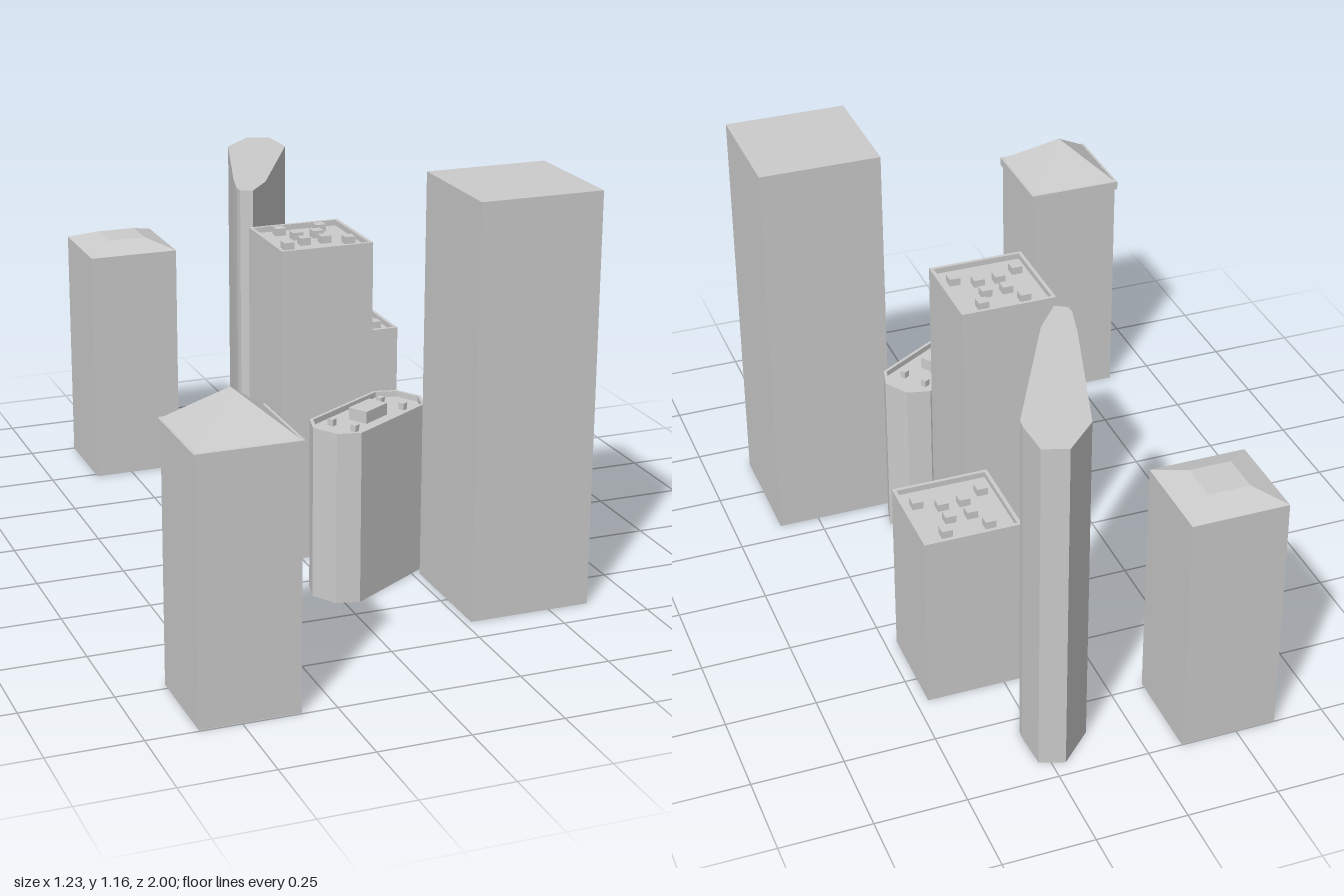
import * as THREE from 'three';

const grey = new THREE.MeshStandardMaterial({ color: 0xcccccc, flatShading: true });

function add(parent, name, geometry, x = 0, y = 0, z = 0) {
  const mesh = new THREE.Mesh(geometry, grey);
  mesh.name = name;
  mesh.position.set(x, y, z);
  parent.add(mesh);
  return mesh;
}

function group(parent, name, x, z) {
  const g = new THREE.Group();
  g.name = name;
  g.position.set(x, 0, z);
  parent.add(g);
  return g;
}

// Box standing on height y
function block(parent, name, w, h, d, x = 0, y = 0, z = 0) {
  return add(parent, name, new THREE.BoxGeometry(w, h, d), x, y + h / 2, z);
}

// Upright prism from a plan outline of [x, z] points, with an optional hole
function prism(outline, height, hole) {
  const toPlan = (pts) => pts.map(([x, z]) => new THREE.Vector2(x, -z));
  const shape = new THREE.Shape(toPlan(outline));
  if (hole) shape.holes.push(new THREE.Path(toPlan(hole)));
  const geo = new THREE.ExtrudeGeometry(shape, { depth: height, bevelEnabled: false });
  return geo.rotateX(-Math.PI / 2);
}

// Rectangle outline with optional chamfered corners
function plan(hx, hz, c = 0) {
  if (!c) return [[-hx, hz], [hx, hz], [hx, -hz], [-hx, -hz]];
  return [
    [-hx + c, hz], [hx - c, hz], [hx, hz - c], [hx, -hz + c],
    [hx - c, -hz], [-hx + c, -hz], [-hx, -hz + c], [-hx, hz - c],
  ];
}

// Four-sided hip roof; top = 0 gives a pyramid
function hipRoof(parent, bottom, top, height, y) {
  const geo = new THREE.CylinderGeometry(top * Math.SQRT2, bottom * Math.SQRT2, height, 4, 1);
  add(parent, 'hipRoof', geo.rotateY(Math.PI / 4), 0, y + height / 2, 0);
}

// Body topped by a low wall around a sunken flat roof
function parapetTower(parent, outline, inner, height, depth) {
  add(parent, 'body', prism(outline, height - depth));
  add(parent, 'parapet', prism(outline, depth, inner), 0, height - depth, 0);
}

export function createModel() {
  const city = new THREE.Group();
  city.name = 'towerCluster';

  // Tower with eave and pyramid roof
  const pyramid = group(city, 'pyramidTower', -0.477, 0.861);
  block(pyramid, 'body', 0.268, 0.69, 0.268);
  block(pyramid, 'eave', 0.28, 0.026, 0.28, 0, 0.69, 0);
  hipRoof(pyramid, 0.133, 0, 0.107, 0.716);

  // Tower with a truncated hip roof
  const hip = group(city, 'hipTower', -0.228, -0.867);
  block(hip, 'body', 0.266, 0.7, 0.266);
  hipRoof(hip, 0.133, 0.058, 0.029, 0.7);

  // Tallest plain tower
  block(group(city, 'tallTower', 0.443, 0.483), 'body', 0.345, 1.157, 0.345);

  // Tapering blade-shaped tower
  const blade = [
    [-0.026, -0.339], [0.006, -0.32], [0.077, -0.408], [0.283, -0.799], [0.286, -0.825],
    [0.281, -0.932], [0.214, -0.956], [0.121, -0.865], [-0.003, -0.461], [-0.027, -0.365],
  ];
  add(city, 'bladeTower', prism(blade.reverse(), 0.977));

  // Two square towers with rooftop units
  const units = [[0.06, -0.087], [0.03, -0.03], [0.03, 0.03], [0.09, 0.06]];
  for (const [name, x, z, h] of [
    ['squareTower', 0.076, -0.042, 0.911],
    ['shortSquareTower', 0.333, -0.462, 0.512],
  ]) {
    const tower = group(city, name, x, z);
    parapetTower(tower, plan(0.134, 0.134), plan(0.124, 0.124), h, 0.016);
    for (const [ux, uz] of units) {
      for (const s of [-1, 1]) block(tower, 'roofUnit', 0.03, 0.021, 0.03, s * ux, h - 0.016, uz);
    }
  }

  // Turned tower with chamfered corners
  const octagon = group(city, 'chamferedTower', 0.122, 0.278);
  octagon.rotation.y = 0.553;
  parapetTower(octagon, plan(0.195, 0.087, 0.047), plan(0.186, 0.078, 0.042), 0.49, 0.016);
  block(octagon, 'roofHouse', 0.094, 0.034, 0.06, 0, 0.474, 0);
  for (const sx of [-1, 1]) {
    for (const sz of [-1, 1]) block(octagon, 'roofUnit', 0.017, 0.019, 0.017, sx * 0.112, 0.474, sz * 0.038);
  }

  return city;
}
